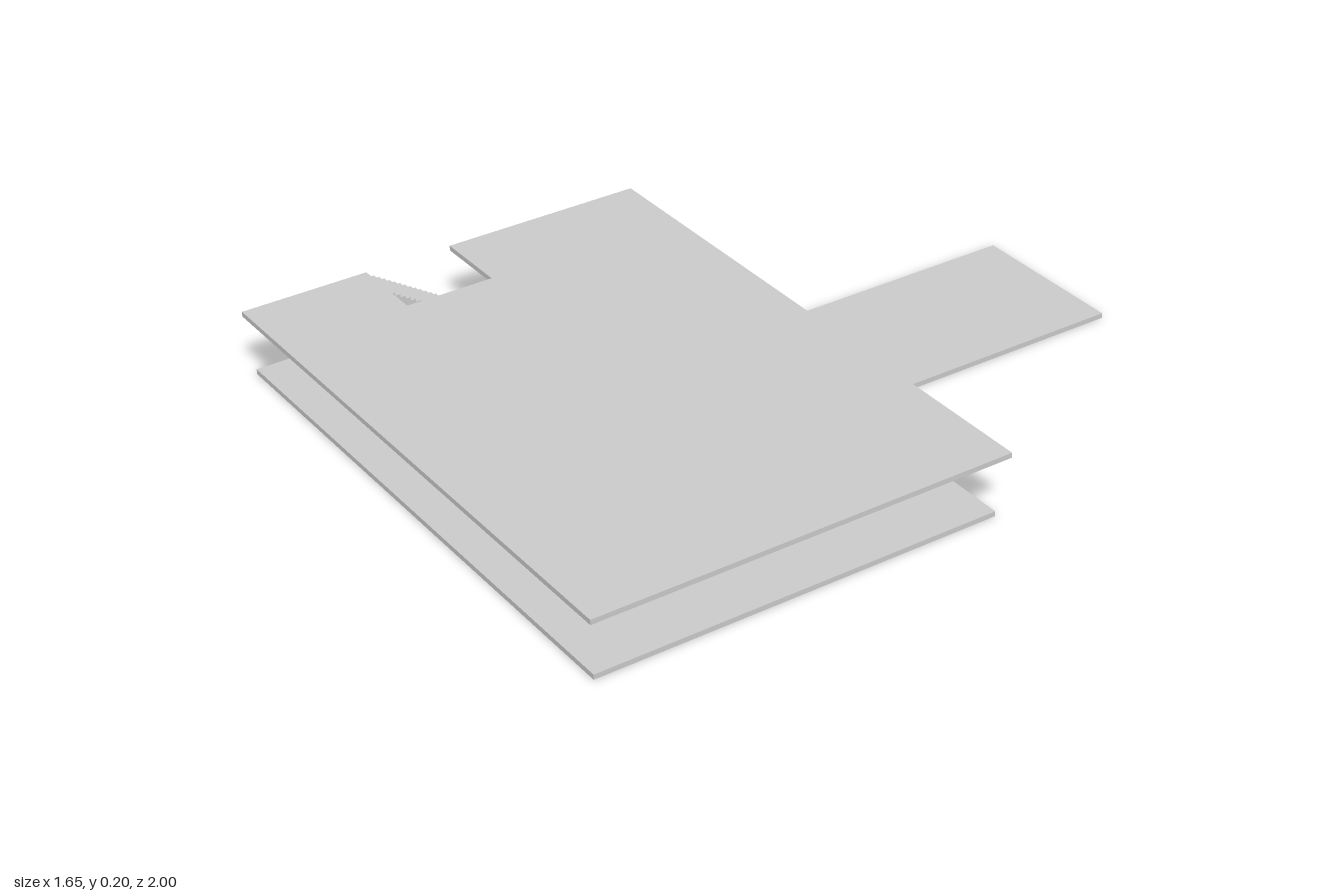
import * as THREE from 'three';

const material = new THREE.MeshStandardMaterial({ color: 0xcccccc, flatShading: true });

function addMesh(group, name, geometry) {
  const mesh = new THREE.Mesh(geometry, material);
  mesh.name = name;
  group.add(mesh);
  return mesh;
}

// Box given by its limits on each axis
function addSlab(group, name, [x0, x1], [y0, y1], [z0, z1]) {
  const mesh = addMesh(group, name, new THREE.BoxGeometry(x1 - x0, y1 - y0, z1 - z0));
  mesh.position.set((x0 + x1) / 2, (y0 + y1) / 2, (z0 + z1) / 2);
}

export function createModel() {
  const model = new THREE.Group();
  model.name = 'twoStoreyFloors';
  const thick = 0.014;

  // Ground floor and the walkway leading to it from the back
  addSlab(model, 'groundFloor', [-0.825, 0.785], [0, thick], [-0.168, 0.973]);
  addSlab(model, 'walkway', [-0.255, 0.205], [0, thick], [-1, -0.178]);

  // Upper floor with a stairwell notch in its right edge (shape y = -z)
  const outline = [
    [-0.822, -1], [0.822, -1], [0.822, 0.18], [-0.822, 0.18],
    [-0.822, -0.39], [-0.608, -0.39], [-0.608, -0.64], [-0.822, -0.64],
  ];
  const floorShape = new THREE.Shape(outline.map(([x, y]) => new THREE.Vector2(x, y)));
  const floor = new THREE.ExtrudeGeometry(floorShape, { depth: thick, bevelEnabled: false });
  floor.rotateX(-Math.PI / 2);
  addMesh(model, 'upperFloor', floor).position.y = 0.181;

  // Solid staircase: stepped side profile (x = z, y = height), climbing to the front
  const steps = 18, zStart = 0.368, zEnd = 0.637, yBase = thick, yTop = 0.183;
  const run = (zEnd - zStart) / steps, rise = (yTop - yBase) / steps;
  const profile = new THREE.Shape();
  profile.moveTo(zStart, yBase);
  for (let i = 0; i < steps; i++) {
    profile.lineTo(zStart + i * run, yBase + (i + 1) * rise);
    profile.lineTo(zStart + (i + 1) * run, yBase + (i + 1) * rise);
  }
  profile.lineTo(zEnd, yBase);
  const stairs = new THREE.ExtrudeGeometry(profile, { depth: 0.112, bevelEnabled: false });
  stairs.rotateY(-Math.PI / 2);
  addMesh(model, 'staircase', stairs).position.x = -0.704;

  return model;
}
